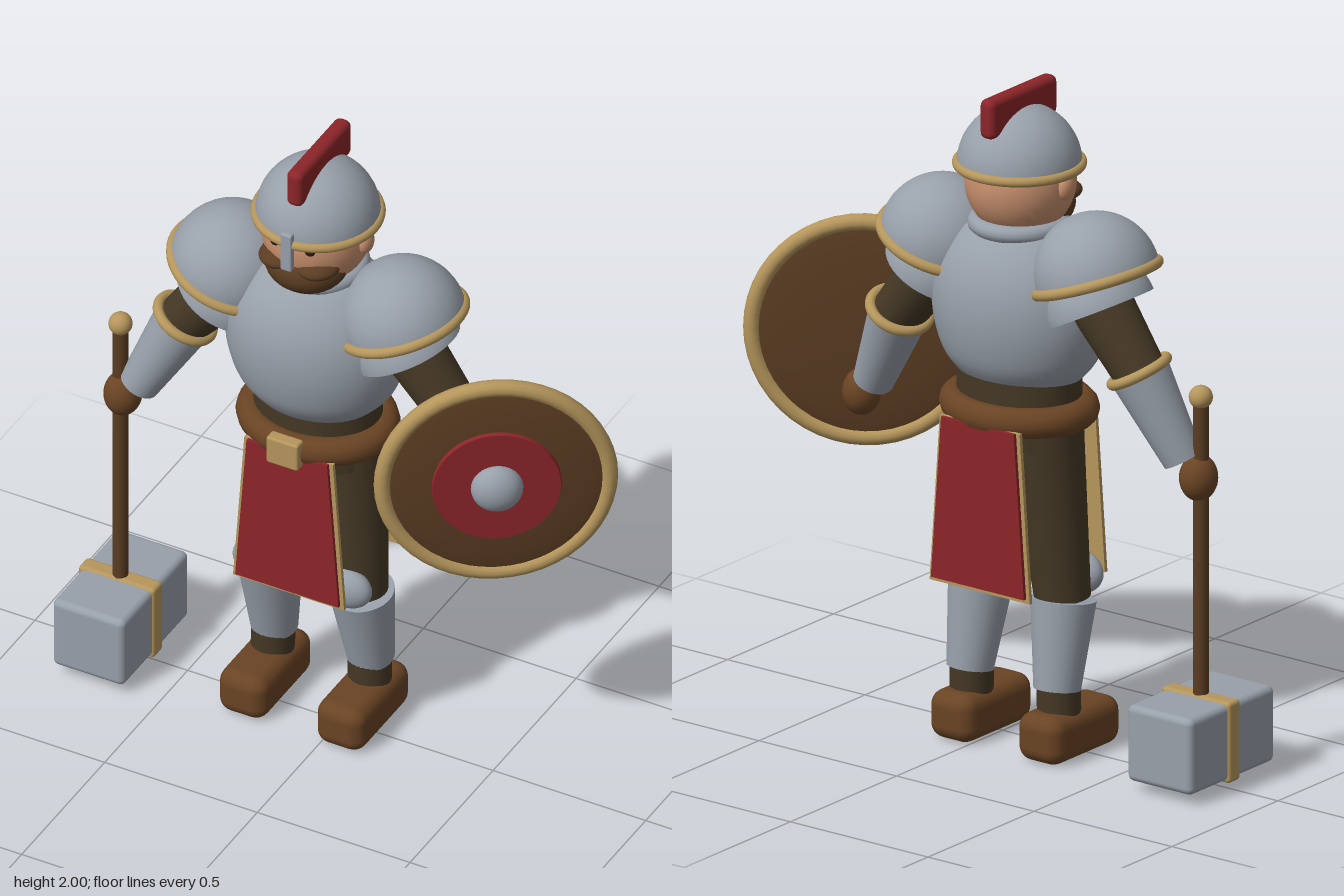
import * as THREE from 'three';
import { RoundedBoxGeometry } from 'three/addons/geometries/RoundedBoxGeometry.js';

const mat = (name, color, side = THREE.FrontSide) => {
  const m = new THREE.MeshStandardMaterial({ color, side });
  m.name = name;
  return m;
};
const V = (x, y, z) => new THREE.Vector3(x, y, z);
const UP = V(0, 1, 0);

export function createModel() {
  const root = new THREE.Group();
  root.name = 'armouredWarrior';
  const steel = mat('steel', 0x98a0aa, THREE.DoubleSide);
  const gold = mat('brass', 0xb5965c);
  const red = mat('redCloth', 0x8c2529);
  const leather = mat('leather', 0x6a4424);
  const wood = mat('darkWood', 0x5a3c22);
  const cloth = mat('darkCloth', 0x453825);
  const skin = mat('skin', 0xc8906e);
  const black = mat('eyeDark', 0x2a1c14);

  const CX = -0.1, CZ = -0.05; // body axis

  const add = (name, geo, material, pos = V(0, 0, 0), parent = root) => {
    const m = new THREE.Mesh(geo, material);
    m.name = name;
    m.position.copy(pos);
    parent.add(m);
    return m;
  };
  const ball = (name, material, pos, rx, ry = rx, rz = rx, parent = root) => {
    const m = add(name, new THREE.SphereGeometry(1, 32, 20), material, pos, parent);
    m.scale.set(rx, ry, rz);
    return m;
  };
  const rbox = (name, material, pos, w, h, d, r, parent = root) =>
    add(name, new RoundedBoxGeometry(w, h, d, 3, r), material, pos, parent);
  // tapered tube running from a to b
  const limb = (name, material, a, b, ra, rb) => {
    const dir = b.clone().sub(a);
    const m = add(name, new THREE.CylinderGeometry(rb, ra, dir.length(), 28), material, a.clone().lerp(b, 0.5));
    m.quaternion.setFromUnitVectors(UP, dir.normalize());
    return m;
  };
  // torus whose hole points along axis
  const ring = (name, material, pos, axis, r, tube, parent = root) => {
    const m = add(name, new THREE.TorusGeometry(r, tube, 12, 48).rotateX(Math.PI / 2), material, pos, parent);
    m.quaternion.setFromUnitVectors(UP, axis.clone().normalize());
    return m;
  };
  // half sphere bulging along axis
  const dome = (name, material, pos, axis, r) => {
    const m = add(name, new THREE.SphereGeometry(r, 40, 16, 0, Math.PI * 2, 0, Math.PI / 2), material, pos);
    m.quaternion.setFromUnitVectors(UP, axis.clone().normalize());
    return m;
  };

  // Head
  ball('head', skin, V(CX, 1.72, CZ + 0.005), 0.162, 0.17, 0.165);
  limb('neck', skin, V(CX, 1.52, CZ), V(CX, 1.65, CZ), 0.1, 0.1);
  ball('beard', wood, V(CX, 1.635, 0.02), 0.125, 0.085, 0.11);
  for (const s of [-1, 1]) {
    ball('moustache', wood, V(CX + s * 0.06, 1.668, 0.06), 0.065, 0.03, 0.07);
    ball('ear', skin, V(CX + s * 0.162, 1.725, CZ + 0.01), 0.022, 0.04, 0.032);
    ball('eye', black, V(CX + s * 0.056, 1.742, 0.102), 0.016, 0.014, 0.014);
    const brow = rbox('eyebrow', wood, V(CX + s * 0.06, 1.762, 0.108), 0.055, 0.014, 0.02, 0.006);
    brow.rotation.z = s * 0.25;
  }

  // Helmet
  dome('helmetDome', steel, V(CX, 1.765, CZ), UP, 0.182);
  ring('helmetRim', gold, V(CX, 1.77, CZ), UP, 0.18, 0.015);
  rbox('noseGuard', steel, V(CX, 1.745, 0.136), 0.036, 0.13, 0.022, 0.006);
  rbox('helmetCrest', red, V(CX, 1.94, -0.055), 0.052, 0.12, 0.315, 0.02);

  // Torso
  const profile = [[0, 1.13], [0.19, 1.13], [0.24, 1.19], [0.27, 1.28], [0.277, 1.37], [0.262, 1.45],
    [0.225, 1.52], [0.17, 1.575], [0.12, 1.595]];
  const curve = new THREE.SplineCurve(profile.slice(1).map(p => new THREE.Vector2(...p)));
  const chest = add('breastplate', new THREE.LatheGeometry([new THREE.Vector2(0, 1.13), ...curve.getPoints(28)], 48),
    steel, V(CX, 0, -0.043));
  chest.scale.z = 0.8;
  ring('collar', steel, V(CX, 1.59, CZ), UP, 0.125, 0.026);
  const waist = add('waist', new THREE.CylinderGeometry(0.195, 0.195, 0.24, 40), cloth, V(CX, 1.06, CZ));
  waist.scale.z = 0.8;
  const belt = ring('belt', leather, V(CX, 1.035, CZ), UP, 0.2, 0.046);
  belt.scale.z = 0.84;
  rbox('beltBuckle', gold, V(CX, 1.035, 0.15), 0.104, 0.092, 0.04, 0.008);

  // Tabard panels, front and back
  const panel = (inset) => {
    const s = new THREE.Shape();
    const t = 0.145 - inset, b = 0.182 - inset;
    s.moveTo(-b, 0.51 + inset).lineTo(b, 0.51 + inset).lineTo(t, 1.02).lineTo(-t, 1.02).closePath();
    return new THREE.ExtrudeGeometry(s, { depth: 0.012, bevelEnabled: false });
  };
  for (const [side, z, turn] of [['front', 0.116, 0], ['back', -0.226, Math.PI]]) {
    const g = new THREE.Group();
    g.name = side + 'Tabard';
    g.position.set(CX, 0, z);
    g.rotation.y = turn;
    root.add(g);
    add('tabardTrim', panel(0), gold, V(0, 0, 0), g);
    add('tabardCloth', panel(0.013), red, V(0, 0, 0.011), g);
  }

  // Legs and arms, mirrored about the body axis
  for (const s of [-1, 1]) {
    const P = (x, y, z) => V(CX + s * x, y, z);
    limb('thigh', cloth, P(0.095, 1.03, -0.06), P(0.145, 0.47, -0.035), 0.115, 0.082);
    ball('kneeGuard', steel, P(0.145, 0.527, 0.045), 0.08, 0.065, 0.045);
    limb('greave', steel, P(0.15, 0.467, -0.037), P(0.158, 0.205, -0.078), 0.096, 0.069);
    limb('shin', cloth, P(0.155, 0.3, -0.07), P(0.16, 0.1, -0.07), 0.064, 0.064);
    rbox('boot', leather, P(0.16, 0.073, -0.025), 0.157, 0.146, 0.322, 0.045);

    const tilt = V(-s * 0.333, 0.943, 0);
    dome('upperPauldron', steel, P(0.28, 1.486, CZ), tilt, 0.185);
    ring('pauldronTrim', gold, P(0.28, 1.477, CZ), tilt, 0.183, 0.017);
    dome('lowerPauldron', steel, P(0.295, 1.385, CZ), V(-s * 0.45, 0.89, 0), 0.163);

    const elbow = P(0.435, 1.225, CZ), wrist = P(0.563, 0.972, -0.008);
    limb('upperArm', cloth, P(0.25, 1.46, CZ), elbow, 0.098, 0.078);
    ball('elbow', cloth, elbow, 0.078);
    limb('vambrace', steel, elbow, wrist, 0.09, 0.06);
    ring('vambraceTrim', gold, elbow, wrist.clone().sub(elbow), 0.088, 0.016);
    ball('hand', leather, P(0.612, 0.925, 0), 0.056, 0.07, 0.058);
  }

  // War hammer
  const hammer = new THREE.Group();
  hammer.name = 'hammer';
  hammer.position.set(-0.72, 0, 0);
  root.add(hammer);
  add('hammerHandle', new THREE.CylinderGeometry(0.023, 0.023, 0.93, 20), wood, V(0, 0.7, 0), hammer);
  ball('hammerPommel', gold, V(0, 1.172, 0), 0.035, 0.035, 0.035, hammer);
  rbox('hammerHead', steel, V(0, 0.147, 0), 0.236, 0.232, 0.4, 0.02, hammer);
  rbox('hammerBand', gold, V(0, 0.147, 0), 0.25, 0.246, 0.056, 0.012, hammer);

  // Round shield, facing forward and outward
  const shield = new THREE.Group();
  shield.name = 'shield';
  shield.position.set(0.535, 1.095, 0.047);
  shield.rotation.y = 0.576;
  root.add(shield);
  ball('shieldBoard', wood, V(0, 0, 0), 0.335, 0.335, 0.033, shield);
  ring('shieldRim', gold, V(0, 0, 0), UP, 0.328, 0.025, shield).rotation.set(Math.PI / 2, 0, 0);
  const disc = new THREE.CylinderGeometry(0.185, 0.192, 0.026, 48).rotateX(Math.PI / 2);
  add('shieldDisc', disc, red, V(0, 0, 0.026), shield);
  ball('shieldBoss', steel, V(0, 0, 0.042), 0.076, 0.076, 0.055, shield);

  return root;
}
